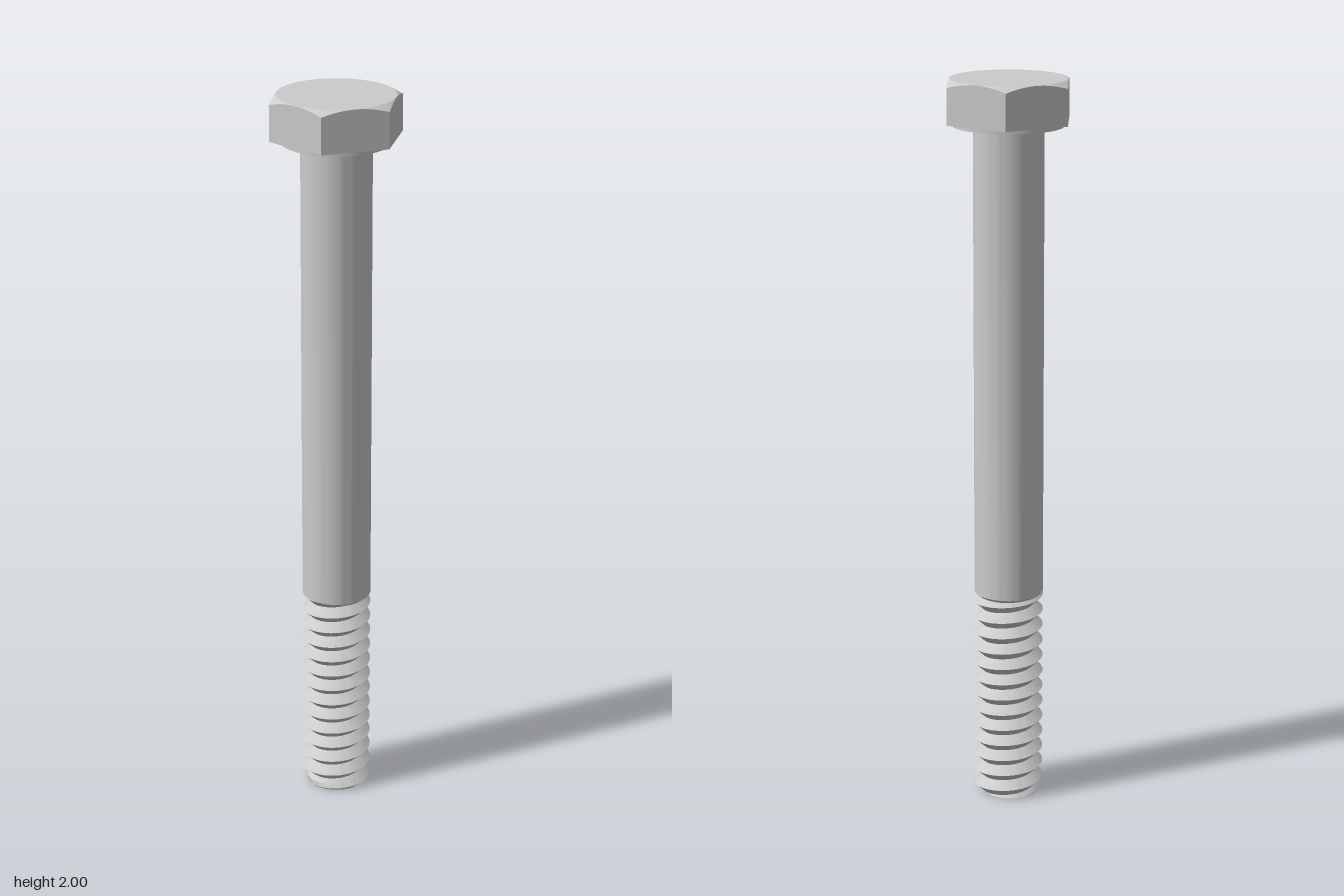
import * as THREE from 'three';
import { toCreasedNormals } from 'three/addons/utils/BufferGeometryUtils.js';

const SHANK_R = 0.094, THREAD_TOP = 0.59, HEAD_BASE = 1.888;

// Grid surface: point(i, j) gives [x, y, z]; rows run upward, columns run counter-clockwise from above
function gridGeometry(rows, cols, point, crease) {
  const pos = [], idx = [];
  for (let i = 0; i <= rows; i++)
    for (let j = 0; j <= cols; j++) pos.push(...point(i, j));
  for (let i = 0; i < rows; i++)
    for (let j = 0; j < cols; j++) {
      const a = i * (cols + 1) + j, b = a + 1, c = a + cols + 1, d = c + 1;
      idx.push(a, b, d, a, d, c);
    }
  const g = new THREE.BufferGeometry();
  g.setAttribute('position', new THREE.Float32BufferAttribute(pos, 3));
  g.setIndex(idx);
  return toCreasedNormals(g, crease);
}

const polar = (r, y, t) => [r * Math.cos(t), y, -r * Math.sin(t)];

// Hexagonal head with a 30 degree conical chamfer on top
function headGeometry() {
  const apothem = 0.1565, capR = 0.1555, cols = 96;
  return gridGeometry(4, cols, (i, j) => {
    const t = (j / cols) * Math.PI * 2;
    const fromFlat = (t % (Math.PI / 3)) - Math.PI / 6;
    const r = apothem / Math.cos(fromFlat);
    const edgeY = 2 - (r - capR) * Math.tan(Math.PI / 6);
    const ring = [[0, HEAD_BASE], [r, HEAD_BASE], [r, edgeY], [capR, 2], [0, 2]][i];
    return polar(ring[0], ring[1], t);
  }, 0.35);
}

// Right-handed helical V thread, trimmed flat at both ends and chamfered at the tip
function threadGeometry() {
  const pitch = 0.045, rootR = 0.07, cols = 64, steps = 4;
  const rows = (Math.ceil(THREAD_TOP / pitch) + 1) * steps;
  return gridGeometry(rows + 2, cols, (i, j) => {
    const turn = j / cols, t = turn * Math.PI * 2;
    if (i === 0) return polar(0, 0, t);
    if (i === rows + 2) return polar(0, THREAD_TOP, t);
    const y = THREE.MathUtils.clamp(((i - 1) / steps + turn - 1) * pitch, 0, THREAD_TOP);
    const phase = (((y / pitch - turn) % 1) + 1) % 1;
    const tooth = 1 - Math.abs(phase * 2 - 1);
    const r = Math.min(rootR + (SHANK_R - rootR) * tooth, 0.08 + y);
    return polar(r, y, t);
  }, 0.5);
}

// Solid of revolution from [radius, y] points, with sharp profile corners
function turned(points) {
  const g = new THREE.LatheGeometry(points.map(p => new THREE.Vector2(...p)), 64);
  g.deleteAttribute('normal');
  g.deleteAttribute('uv');
  return toCreasedNormals(g, 0.4);
}

export function createModel() {
  const group = new THREE.Group();
  const steel = new THREE.MeshStandardMaterial({ color: 0xcccccc });
  const add = (name, geometry) => {
    const mesh = new THREE.Mesh(geometry, steel);
    mesh.name = name;
    group.add(mesh);
  };

  add('hexHead', headGeometry());
  // Thin bearing face beneath the head
  add('washerFace', turned([[0, 1.876], [0.147, 1.876], [0.147, HEAD_BASE]]));
  // Plain shank with a short bevel into the thread
  add('shank', turned([[0, 0.58], [0.082, 0.58], [SHANK_R, THREAD_TOP], [SHANK_R, 1.878]]));
  add('thread', threadGeometry());
  return group;
}
